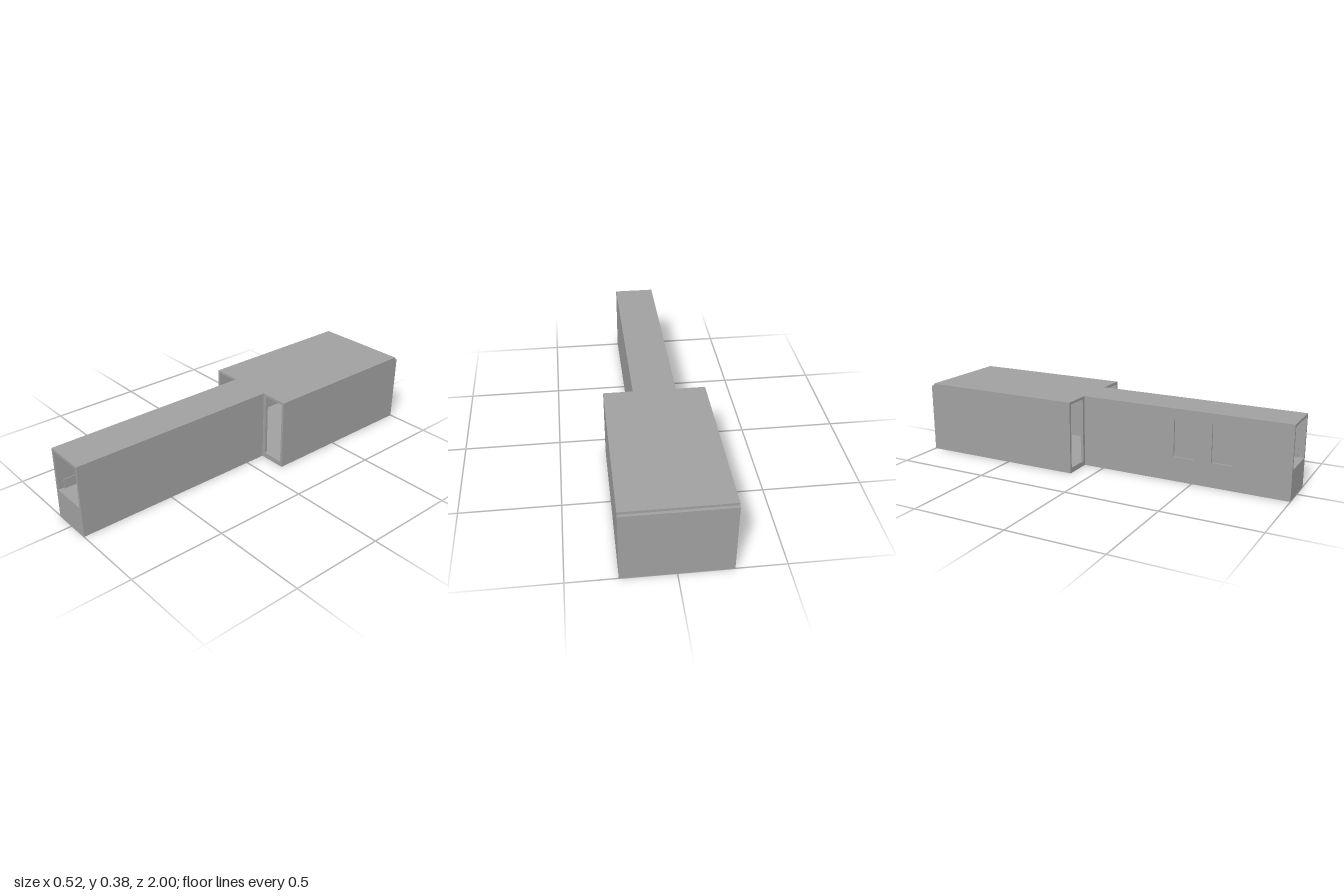
import * as THREE from 'three';

const TOP = 0.378, CEIL = 0.365, FLOOR = 0.155;   // shared heights
const SHOULDER = -0.11;                           // where the wide body begins

export function createModel() {
  const group = new THREE.Group();
  const grey = new THREE.MeshStandardMaterial({ color: 0xa0a0a0 });
  grey.name = 'plain grey';

  const add = (name, geometry) => {
    const mesh = new THREE.Mesh(geometry, grey);
    mesh.name = name;
    group.add(mesh);
    return mesh;
  };

  // Box given by its minimum and maximum along each axis
  const box = (name, x0, x1, y0, y1, z0, z1) => {
    const mesh = add(name, new THREE.BoxGeometry(x1 - x0, y1 - y0, z1 - z0));
    mesh.position.set((x0 + x1) / 2, (y0 + y1) / 2, (z0 + z1) / 2);
    return mesh;
  };

  // Rectangular plate with rectangular holes, each as [u0, u1, v0, v1]
  const trace = (path, [u0, u1, v0, v1]) => {
    path.moveTo(u0, v0);
    path.lineTo(u1, v0);
    path.lineTo(u1, v1);
    path.lineTo(u0, v1);
    path.closePath();
    return path;
  };
  const plate = (outer, holes, depth) => {
    const shape = trace(new THREE.Shape(), outer);
    shape.holes = holes.map((h) => trace(new THREE.Path(), h));
    return new THREE.ExtrudeGeometry(shape, { depth, bevelEnabled: false });
  };
  const frame = (name, outer, holes, z0, z1) => {
    add(name, plate(outer, holes, z1 - z0)).position.z = z0;
  };

  // Narrow body: solid base, roof and plain left wall
  box('channelBase', -0.097, 0.097, 0, FLOOR, SHOULDER, 1);
  box('channelRoof', -0.097, 0.097, CEIL, TOP, SHOULDER, 1);
  box('leftChannelWall', 0.097, 0.11, 0, TOP, SHOULDER, 1);

  // Right wall with two windows; the shape's u axis runs along -z
  const windows = [[0.4, 0.51], [0.6, 0.71]];
  const wall = plate(
    [-1, -SHOULDER, 0, TOP],
    windows.map(([z0, z1]) => [-z1, -z0, 0.128, 0.325]),
    0.013,
  );
  wall.rotateY(Math.PI / 2);
  add('rightChannelWall', wall).position.x = -0.11;

  // Panels sunk into the windows
  for (const [z0, z1] of windows) {
    box('sunkenPanel', -0.101, -0.094, 0.128, 0.325, z0, z1);
  }

  // Low guide rails on the channel floor
  for (const side of [-1, 1]) {
    const rail = box('guideRail', -0.002, 0.002, FLOOR, 0.205, 0.1, 0.97);
    rail.position.x = side * 0.089;
  }

  // Small round bump under the roof
  const bump = add('roofBump', new THREE.SphereGeometry(0.014, 24, 12, 0, Math.PI * 2, Math.PI / 2, Math.PI / 2));
  bump.position.set(0, CEIL, 0.85);

  // Wide hollow body
  const outline = [-0.26, 0.26, 0, TOP];
  frame('wideShell', outline, [[-0.247, 0.247, 0.027, CEIL]], -0.985, -0.125);

  // Shoulder plate with the channel mouth and an opening on each side
  frame('shoulderPlate', outline, [
    [-0.097, 0.097, FLOOR, CEIL],
    [-0.247, -0.127, 0.027, CEIL],
    [0.127, 0.247, 0.027, CEIL],
  ], -0.125, SHOULDER);

  // Inner rim and lowered cap at the back
  frame('backRim', [-0.247, 0.247, 0.027, CEIL], [[-0.222, 0.222, 0.042, 0.349]], -0.985, -0.97);
  box('backCap', -0.26, 0.26, 0, CEIL, -1, -0.985);

  return group;
}
